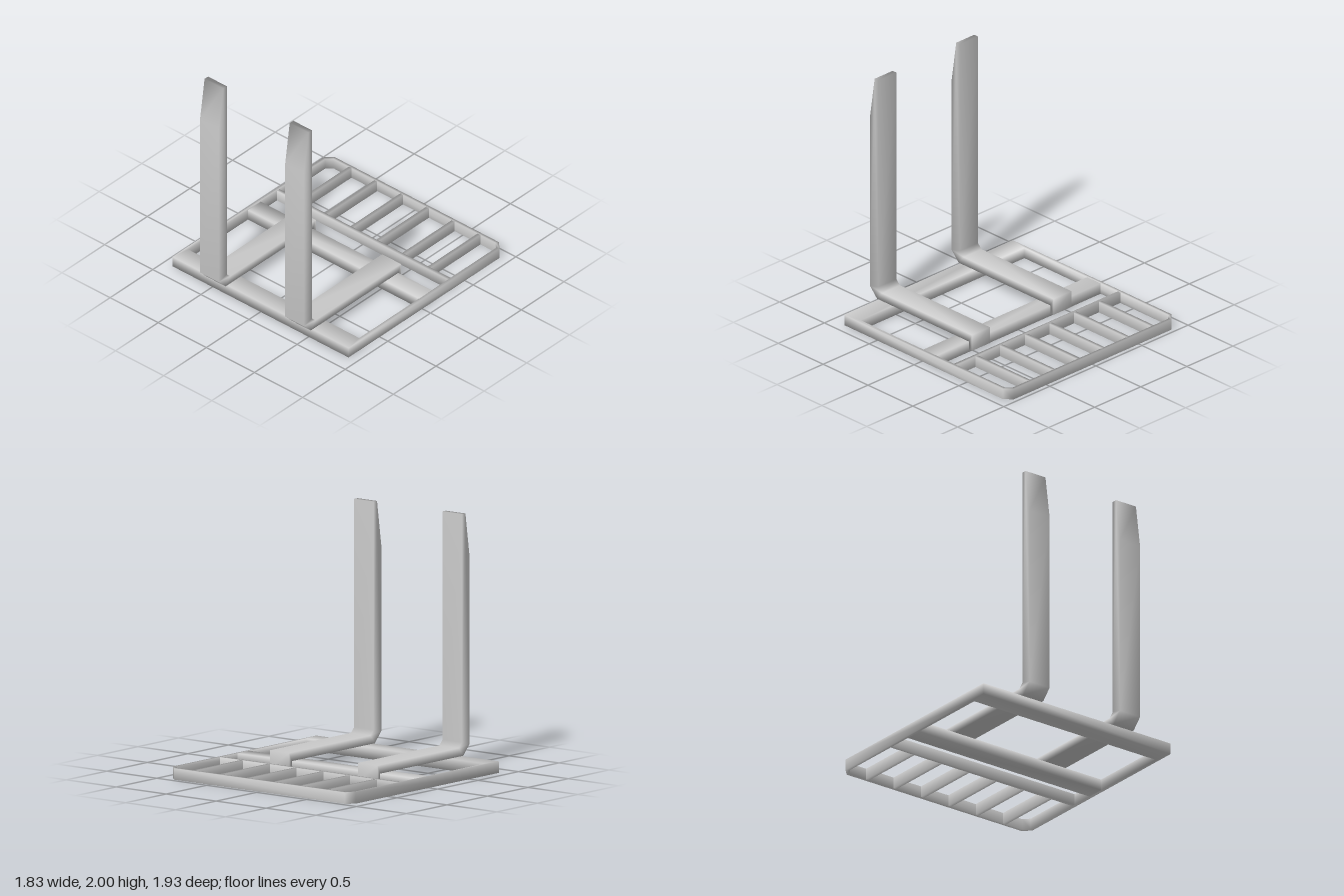
import * as THREE from 'three';
import { mergeVertices } from 'three/addons/utils/BufferGeometryUtils.js';

const material = new THREE.MeshStandardMaterial({ color: 0xcccccc });
const HEIGHT = 0.09;

// Weld shared corners so that shading runs smoothly across the edges
function soften(geometry) {
  geometry.deleteAttribute('normal');
  geometry.deleteAttribute('uv');
  const welded = mergeVertices(geometry, 1e-4);
  welded.computeVertexNormals();
  return welded;
}

function addMesh(group, name, geometry) {
  const mesh = new THREE.Mesh(soften(geometry), material);
  mesh.name = name;
  group.add(mesh);
  return mesh;
}

// Bar lying on the ground, given by its x and z limits
function addBar(group, name, x0, x1, z0, z1) {
  const bar = addMesh(group, name, new THREE.BoxGeometry(x1 - x0, HEIGHT, z1 - z0));
  bar.position.set((x0 + x1) / 2, HEIGHT / 2, (z0 + z1) / 2);
}

const points = (list) => list.map(([x, y]) => new THREE.Vector2(x, y));

// Outline in x and z with the two back corners cut off
const outline = (x, front, back, cut) => points([
  [-x, -front], [x, -front], [x, -back - cut], [x - cut, -back], [-x + cut, -back], [-x, -back - cut],
]);

export function createModel() {
  const group = new THREE.Group();
  group.name = 'forkCarriage';

  // Outer frame with a broad front beam
  const shape = new THREE.Shape(outline(0.915, 0.865, -0.965, 0.06));
  shape.holes.push(new THREE.Path(outline(0.888, 0.71, -0.94, 0.045)));
  const frame = new THREE.ExtrudeGeometry(shape, { depth: HEIGHT, bevelEnabled: false });
  frame.rotateX(-Math.PI / 2);
  addMesh(group, 'frame', frame);

  // Cross members
  addBar(group, 'middleBeam', -0.89, 0.89, -0.14, 0.01);
  addBar(group, 'guardRail', -0.89, 0.89, -0.36, -0.33);

  // Guard slats
  for (let i = 0; i < 6; i++) {
    const x = (i - 2.5) * 0.268;
    addBar(group, 'guardSlat', x - 0.015, x + 0.015, -0.945, -0.355);
  }

  // Forks: tapered blade, bent heel, shank and hook behind the middle beam
  const profile = new THREE.Shape(points([
    [-0.87, 2], [-0.912, 2], [-0.965, 1.64], [-0.965, 0.175], [-0.885, 0.09],
    [0.14, 0.09], [0.14, 0.02], [0.172, 0.02], [0.172, 0.158],
    [-0.83, 0.158], [-0.87, 0.198],
  ]));
  for (const [name, x] of [['leftFork', 0.345], ['rightFork', -0.54]]) {
    const fork = new THREE.ExtrudeGeometry(profile, { depth: 0.195, bevelEnabled: false });
    fork.rotateY(Math.PI / 2);
    addMesh(group, name, fork).position.x = x;
  }

  return group;
}
